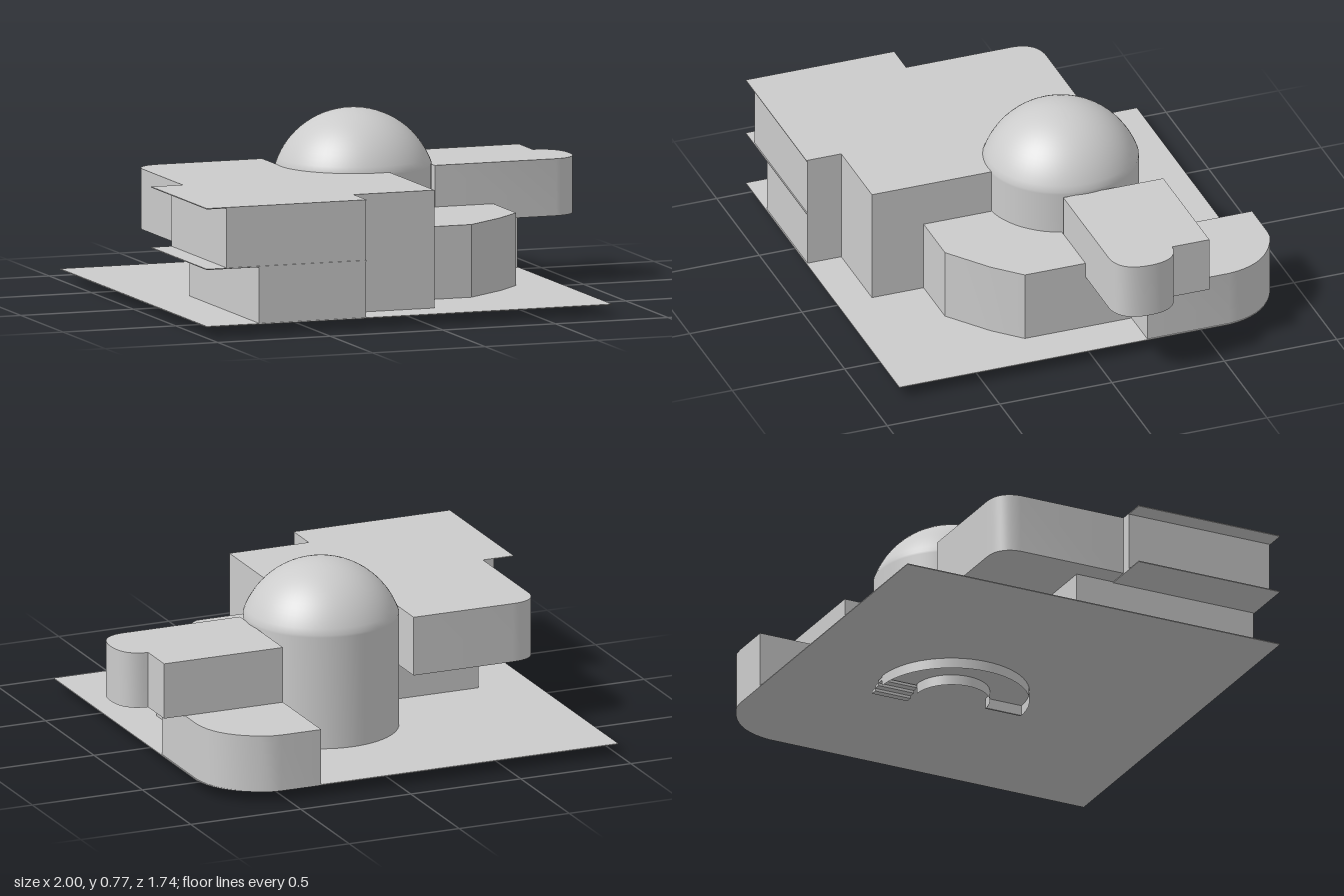
import * as THREE from 'three';
import { toCreasedNormals } from 'three/addons/utils/BufferGeometryUtils.js';

const BASE = 0.045, FLOOR = 0.29, ROOF = 0.545, SHEET = 0.004;
const CX = 0.03, CZ = -0.14, R = 0.325; // centre and radius of the round hall

export function createModel() {
  const group = new THREE.Group();
  const mat = new THREE.MeshStandardMaterial({ color: 0xcccccc });
  const thin = new THREE.MeshStandardMaterial({ color: 0xcccccc, side: THREE.DoubleSide });

  function add(name, geometry, material = mat) {
    const mesh = new THREE.Mesh(geometry, material);
    mesh.name = name;
    group.add(mesh);
    return mesh;
  }

  // Vertical prism over a plan outline of [x, z] corners;
  // a four-number entry [cx, cz, x, z] is a curved corner.
  function prism(name, outline, y0, y1) {
    const shape = new THREE.Shape();
    outline.forEach((p, i) => {
      if (i === 0) shape.moveTo(p[0], -p[1]);
      else if (p.length === 4) shape.quadraticCurveTo(p[0], -p[1], p[2], -p[3]);
      else shape.lineTo(p[0], -p[1]);
    });
    const g = new THREE.ExtrudeGeometry(shape, { depth: y1 - y0, bevelEnabled: false, curveSegments: 10 });
    g.rotateX(-Math.PI / 2);
    g.translate(0, y0, 0);
    return add(name, toCreasedNormals(g, 0.5));
  }

  const rect = (x0, x1, z0, z1) => [[x0, z0], [x1, z0], [x1, z1], [x0, z1]];

  // Ground sheet, rounded at the back left corner
  prism('groundSlab', [[-1, -0.87], [0.53, -0.87], [0.575, -0.865], [0.78, -0.79, 0.8, -0.6],
    [0.8, 0.87], [-1, 0.87]], BASE, BASE + SHEET);

  // Round hall with its shallow dome
  const profile = [new THREE.Vector2(R, BASE), new THREE.Vector2(R, ROOF - 0.01)];
  const rise = 0.775 - ROOF;
  const sphereR = (R * R + rise * rise) / (2 * rise);
  const arc = Math.asin(R / sphereR);
  for (let i = 0; i <= 16; i++) {
    const a = arc * (1 - i / 16);
    profile.push(new THREE.Vector2(sphereR * Math.sin(a), 0.775 - sphereR + sphereR * Math.cos(a)));
  }
  const hall = add('domedHall', toCreasedNormals(new THREE.LatheGeometry(profile, 64), 0.6), thin);
  hall.position.set(CX, 0, CZ);

  // Stepped wing on the model's right: narrow ground floor, wider upper floor
  prism('rightWingLowerFloor', [[-0.765, 0.04], [0.07, 0.04], [0.07, 0.715], [-0.29, 0.715],
    [-0.29, 0.865], [-0.765, 0.865]], BASE, FLOOR);
  prism('rightWingUpperFloor', rect(-0.91, -0.29, 0.21, 0.865), FLOOR, ROOF - SHEET);
  prism('middleBlock', rect(-0.29, 0.07, -0.14, 0.715), BASE, ROOF - SHEET);
  prism('overhangingRoom', [[-0.29, -0.37], [-0.29, 0.21], [-0.86, 0.21], [-0.86, -0.27],
    [-0.85, -0.37, -0.74, -0.37]], FLOOR, ROOF - SHEET);

  // Thin floor and roof sheets that reach past the walls
  prism('floorSlab', rect(-1, -0.29, 0.21, 0.87), FLOOR - SHEET, FLOOR);
  prism('roofSlab', [[-1, 0.87], [-1, 0.21], [-0.86, 0.21], [-0.86, -0.27], [-0.85, -0.37, -0.74, -0.37],
    [-0.29, -0.37], [-0.29, -0.14], [0.07, -0.14], [0.07, 0.715], [-0.29, 0.715], [-0.29, 0.87]],
  ROOF - SHEET, ROOF);

  // Low front room with a chamfered corner
  prism('chamferedRoom', [[0.07, -0.03], [0.07, 0.485], [0.32, 0.485], [0.5, 0.35],
    [0.61, 0.24], [0.61, -0.03]], BASE, 0.355);

  // Back wing on the model's left, its link, and the raised room with a rounded bay
  prism('linkRoom', rect(0.3, 0.61, -0.25, -0.03), BASE, FLOOR);
  prism('backWing', [[0.35, -0.235], [0.35, -0.87], [0.53, -0.87], [0.575, -0.865],
    [0.78, -0.79, 0.795, -0.6], [0.795, -0.235]], BASE, FLOOR);
  prism('raisedRoom', [[0.35, -0.03], [0.35, -0.475], [0.89, -0.475], [0.89, -0.31],
    [1, -0.3, 1, -0.17], [1, -0.04, 0.89, -0.03]], FLOOR, 0.53);

  // Curved stairwell under the hall: two half-round walls and a closing wall
  for (const [name, r] of [['stairwellOuterWall', R], ['stairwellInnerWall', 0.16]]) {
    const wall = add(name, new THREE.CylinderGeometry(r, r, BASE, 32, 1, true, Math.PI, Math.PI), thin);
    wall.position.set(CX, BASE / 2, CZ);
  }
  const endWall = add('stairwellEndWall', new THREE.BoxGeometry(0.008, BASE, R - 0.16));
  endWall.position.set(CX, BASE / 2, CZ + (R + 0.16) / 2);

  // Small steps leading into the stairwell
  for (let i = 0; i < 3; i++) {
    const step = add('stairStep', new THREE.BoxGeometry(0.03, 0.012, R - 0.16));
    step.position.set(0.105 - i * 0.03, 0.008 + i * 0.012, CZ - (R + 0.16) / 2);
  }

  return group;
}
